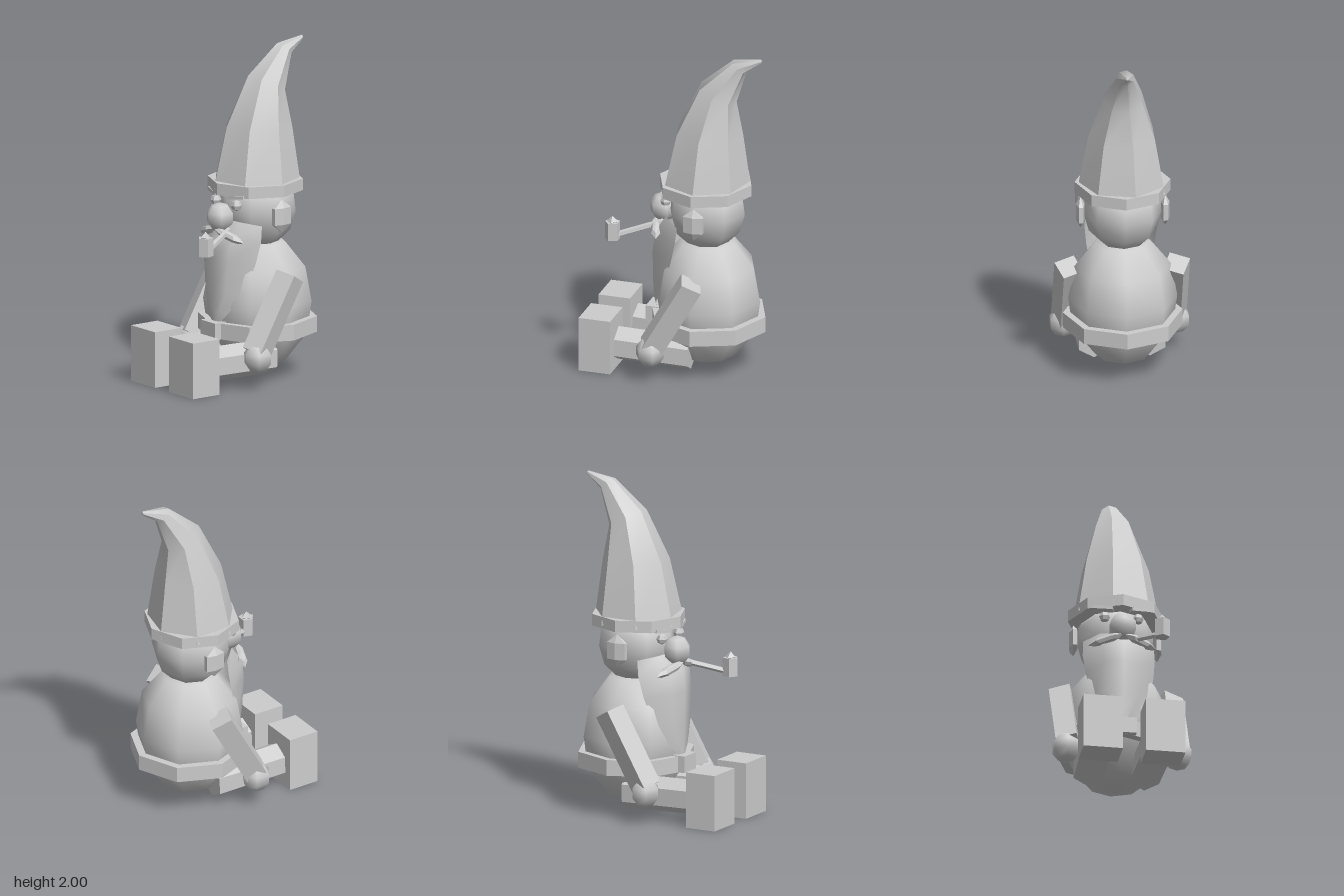
import * as THREE from 'three';

const stone = new THREE.MeshStandardMaterial({ color: 0xcccccc });
stone.name = 'pale stone';
const flatStone = stone.clone();
flatStone.flatShading = true;
const openStone = stone.clone();
openStone.side = THREE.DoubleSide;

// Surface through rows of points; each column of faces may keep its own normals
function loft(rows, creased) {
  const pos = [], index = [], n = rows[0].length;
  const strips = creased ? rows[0].slice(1).map((_, i) => [i, i + 1]) : [[...Array(n).keys()]];
  for (const cols of strips) {
    const base = pos.length / 3, w = cols.length;
    for (const row of rows) for (const c of cols) pos.push(...row[c]);
    for (let j = 0; j < rows.length - 1; j++) {
      for (let i = 0; i < w - 1; i++) {
        const a = base + j * w + i;
        index.push(a, a + 1, a + w + 1, a, a + w + 1, a + w);
      }
    }
  }
  const g = new THREE.BufferGeometry();
  g.setAttribute('position', new THREE.Float32BufferAttribute(pos, 3));
  g.setIndex(index);
  g.computeVertexNormals();
  return g;
}

export function createModel() {
  const model = new THREE.Group();
  model.name = 'gardenGnome';

  function add(name, geometry, [x, y, z], material = flatStone, parent = model) {
    const mesh = new THREE.Mesh(geometry, material);
    mesh.name = name;
    mesh.position.set(x, y, z);
    parent.add(mesh);
    return mesh;
  }
  const lathe = (pts) => new THREE.LatheGeometry(pts.map((p) => new THREE.Vector2(...p)), 8);

  // Round body and head
  add('body', lathe([[0, 0.04], [0.165, 0.09], [0.295, 0.255], [0.322, 0.45],
    [0.285, 0.656], [0.165, 0.805], [0, 0.825]]), [0, 0, -0.175], stone);
  add('head', lathe([[0, 0.77], [0.13, 0.81], [0.2, 0.88], [0.232, 0.995],
    [0.22, 1.09], [0.18, 1.15], [0, 1.18]]), [0, 0, -0.17], stone);

  // Belt and buckle
  add('belt', new THREE.CylinderGeometry(0.353, 0.353, 0.095, 8), [0, 0.312, -0.177]);
  add('buckle', new THREE.BoxGeometry(0.14, 0.1, 0.09), [0, 0.315, 0.145]);

  // Hat brim and seven-sided hat bending backwards: [y, z, radius, tilt]
  add('hatBrim', new THREE.CylinderGeometry(0.283, 0.283, 0.07, 8), [0, 1.155, -0.16]);
  const hatRings = [[1.14, -0.16, 0.268, 0], [1.495, -0.18, 0.203, 0.05], [1.75, -0.235, 0.122, 0.44],
    [1.94, -0.37, 0.053, 0.68], [1.99, -0.505, 0.011, 1.2], [1.992, -0.508, 0, 1.2]];
  const hatRows = hatRings.map(([y, z, r, tilt]) => Array.from({ length: 8 }, (_, i) => {
    const a = (i / 7) * Math.PI * 2 - 0.22;
    const f = r * Math.cos(a);
    return [r * Math.sin(a), y + f * Math.sin(tilt), z + f * Math.cos(tilt)];
  }));
  add('hat', loft(hatRows, true), [0, 0, 0], stone);

  // Nose
  add('nose', new THREE.SphereGeometry(0.088, 6, 5), [0, 0.985, 0.1], stone).rotation.y = Math.PI / 2;

  // Beard, lowest row first: [y, half width, z at sides, z in front]
  const beardRows = [[0.355, 0.02, 0.135, 0.145], [0.43, 0.09, 0.12, 0.147], [0.55, 0.165, 0.05, 0.15],
    [0.74, 0.202, -0.01, 0.155], [0.87, 0.215, -0.04, 0.14], [0.965, 0.21, -0.05, 0.055]]
    .map(([y, w, zs, zf]) => [[-1, 0], [-0.58, 0.85], [0, 1], [0.58, 0.85], [1, 0]]
      .map(([u, t]) => [u * w, y - (Math.abs(u) === 1 ? 0.02 : 0), zs + (zf - zs) * t]));
  add('beard', loft(beardRows, false), [0, 0, 0], openStone);

  // Smoking pipe
  add('pipeBowl', new THREE.CylinderGeometry(0.047, 0.047, 0.11, 5), [0.193, 0.875, 0.353]);
  add('pipeEmber', new THREE.OctahedronGeometry(0.034), [0.193, 0.933, 0.353]);
  const stemA = new THREE.Vector3(0.19, 0.845, 0.34), stemB = new THREE.Vector3(0.06, 0.915, 0.08);
  const stemDir = stemB.clone().sub(stemA);
  const stem = add('pipeStem', new THREE.CylinderGeometry(0.018, 0.018, stemDir.length(), 5),
    stemA.clone().add(stemB).multiplyScalar(0.5).toArray());
  stem.quaternion.setFromUnitVectors(new THREE.Vector3(0, 1, 0), stemDir.normalize());

  // Paired parts, mirrored across the middle
  for (const side of [1, -1]) {
    const half = new THREE.Group();
    half.name = side > 0 ? 'leftParts' : 'rightParts';
    half.scale.x = side;
    model.add(half);

    add('ear', new THREE.SphereGeometry(1, 6, 3), [0.25, 1, -0.165], flatStone, half)
      .scale.set(0.03, 0.1, 0.08);
    add('eye', new THREE.SphereGeometry(0.033, 6, 4), [0.1, 1.066, 0.055], flatStone, half);
    add('eyebrow', new THREE.BoxGeometry(0.12, 0.02, 0.04), [0.11, 1.118, 0.06], flatStone, half)
      .rotation.set(0, 0.3, 0.12);
    const moustache = add('moustache', new THREE.SphereGeometry(1, 6, 4), [0.105, 0.89, 0.115], flatStone, half);
    moustache.scale.set(0.11, 0.026, 0.032);
    moustache.rotation.set(0, 0.32, -0.28);

    const arm = add('arm', new THREE.BoxGeometry(0.127, 0.5, 0.127), [0.318, 0.433, -0.05], flatStone, half);
    arm.rotation.set(-0.52, 0.39, 0);
    add('hand', new THREE.SphereGeometry(0.09, 6, 5), [0.333, 0.19, 0.075], stone, half)
      .rotation.y = Math.PI / 2;

    const leg = add('leg', new THREE.CylinderGeometry(0.104, 0.104, 0.45, 6), [0.174, 0.152, 0.098], flatStone, half);
    leg.rotation.set(Math.PI / 2 - 0.03, 0, -0.04);
    add('shoe', new THREE.BoxGeometry(0.235, 0.335, 0.195), [0.186, 0.1675, 0.43], flatStone, half);
  }
  return model;
}
